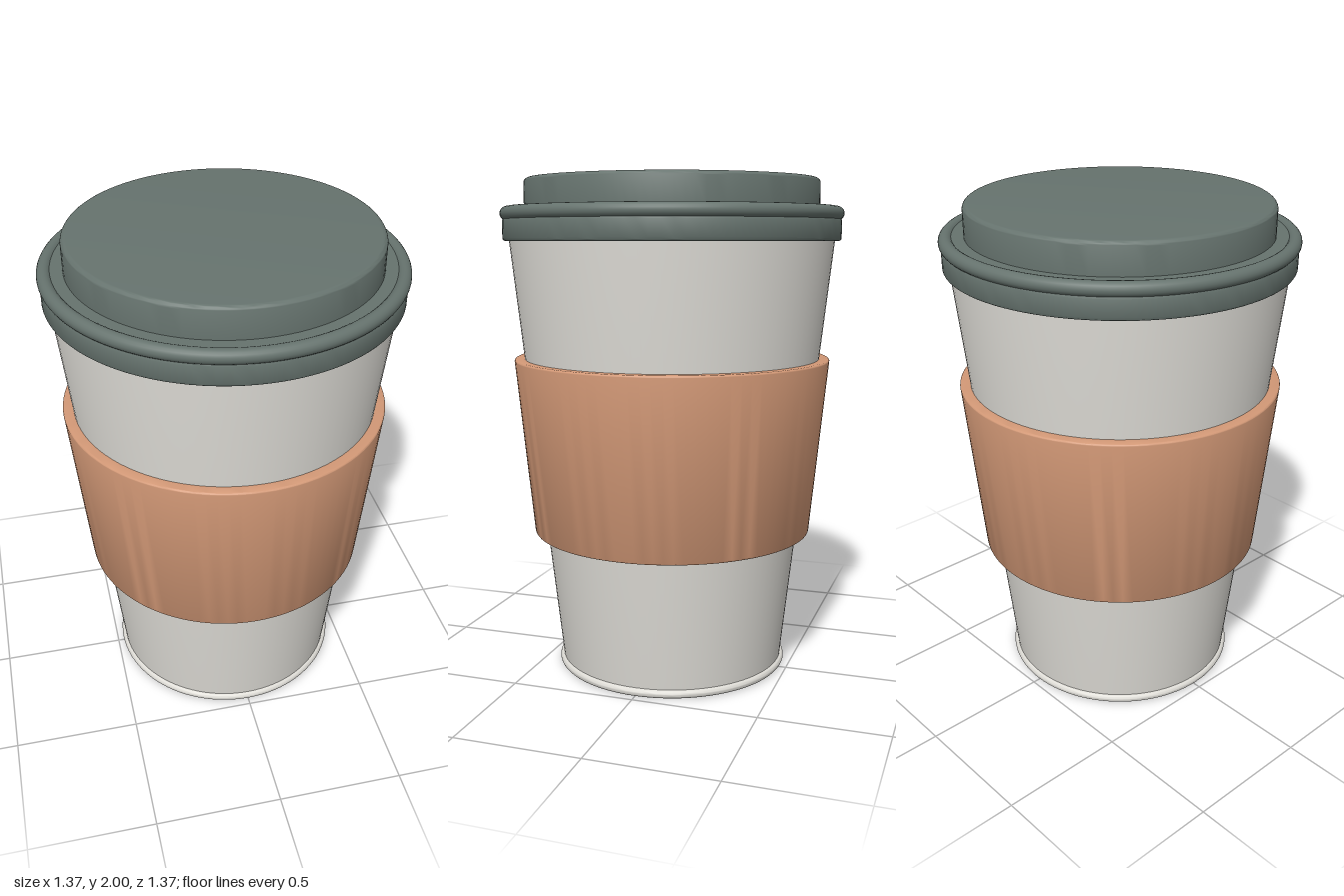
import * as THREE from 'three';
import { toCreasedNormals } from 'three/addons/utils/BufferGeometryUtils.js';

const SEGMENTS = 96;

function material(name, color) {
  const m = new THREE.MeshStandardMaterial({ color });
  m.name = name;
  return m;
}

// Rounded corner: arc of profile points around (cx, cy), angles in degrees
function arc(cx, cy, r, from, to, steps = 6) {
  return Array.from({ length: steps + 1 }, (_, i) => {
    const a = THREE.MathUtils.degToRad(from + ((to - from) * i) / steps);
    return [cx + r * Math.cos(a), cy + r * Math.sin(a)];
  });
}

// Turned part; the profile runs from the bottom, up the outside, to the top
function turned(name, profile, mat) {
  const points = profile.map(([x, y]) => new THREE.Vector2(x, y));
  const geometry = toCreasedNormals(new THREE.LatheGeometry(points, SEGMENTS), Math.PI / 5);
  const mesh = new THREE.Mesh(geometry, mat);
  mesh.name = name;
  return mesh;
}

export function createModel() {
  const paper = material('warm white paper', 0xdedcd6);
  const card = material('tan cardboard', 0xd29876);
  const plastic = material('grey green plastic', 0x66736e);

  const cup = new THREE.Group();
  cup.name = 'coffeeCup';

  // Tapered cup wall with a closed base
  cup.add(turned('cupBody', [[0, 0.004], [0.458, 0.004], [0.652, 1.76], [0.652, 1.8], [0, 1.8]], paper));

  // Rolled bead around the foot
  cup.add(turned('footBead', [
    [0.45, 0],
    ...arc(0.459, 0.017, 0.017, -90, 90, 10),
    [0.45, 0.034],
  ], paper));

  // Insulating sleeve following the taper of the wall
  cup.add(turned('sleeve', [
    [0.515, 0.57],
    ...arc(0.564, 0.578, 0.008, -90, 0, 4),
    ...arc(0.633, 1.279, 0.008, 0, 90, 4),
    [0.595, 1.287],
  ], card));

  // Lid: skirt, rolled rim and raised top
  const lid = new THREE.Group();
  lid.name = 'lid';
  lid.add(turned('lidSkirt', [
    [0.645, 1.755],
    ...arc(0.665, 1.767, 0.012, -90, 0),
    ...arc(0.665, 1.833, 0.012, 0, 90),
    [0.64, 1.845],
    [0.64, 1.88],
    [0, 1.88],
  ], plastic));
  const rim = new THREE.Mesh(new THREE.TorusGeometry(0.658, 0.028, 20, SEGMENTS), plastic);
  rim.name = 'lidRim';
  rim.rotation.x = Math.PI / 2;
  rim.position.y = 1.862;
  lid.add(rim);
  lid.add(turned('lidTop', [
    [0.59, 1.87],
    ...arc(0.57, 1.98, 0.02, 0, 90, 8),
    [0, 2],
  ], plastic));
  cup.add(lid);

  return cup;
}
